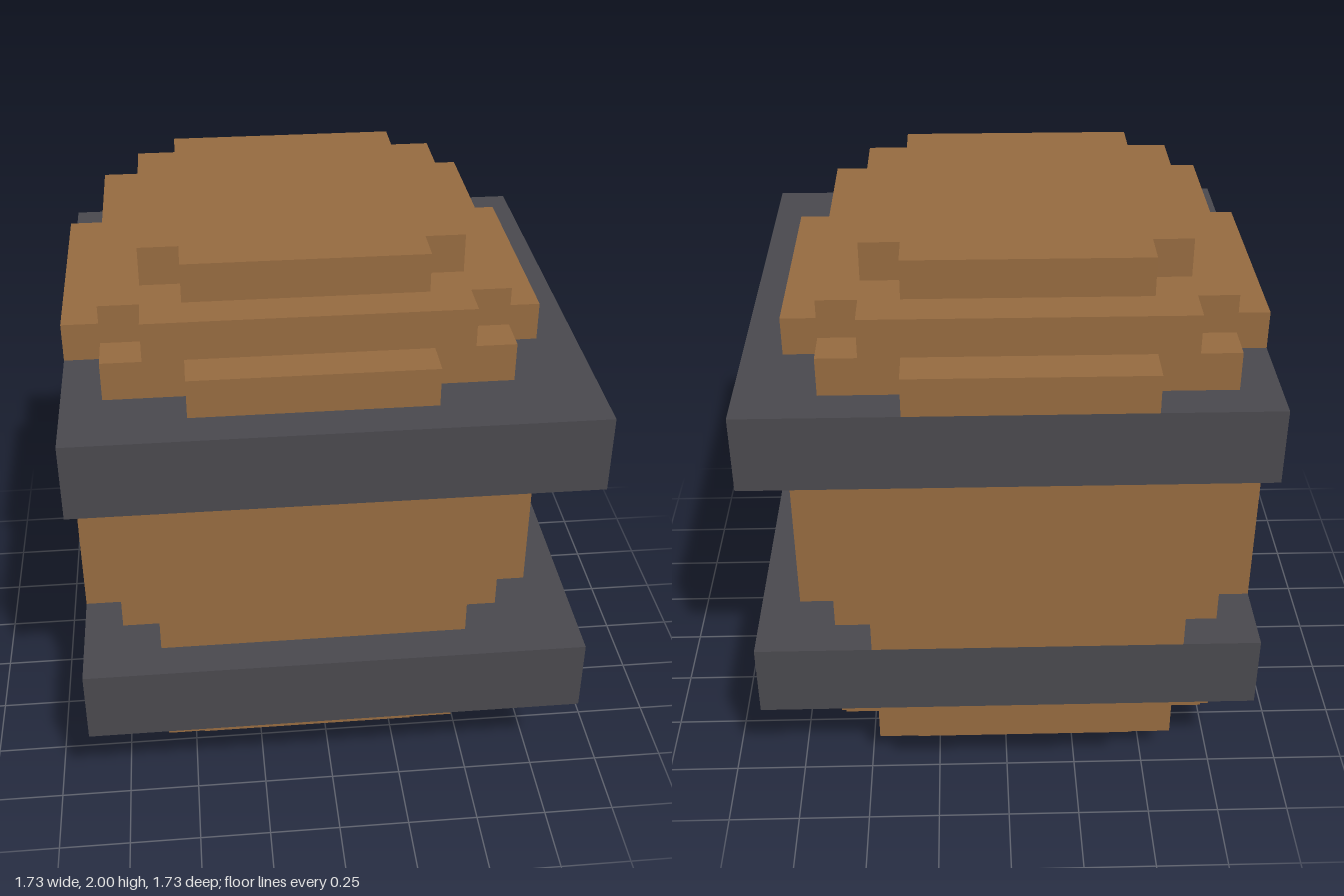
import * as THREE from 'three';

const U = 2 / 15; // one block unit

export function createModel() {
  const wood = new THREE.MeshStandardMaterial({ color: 0x966b40 });
  wood.name = 'wood';
  const iron = new THREE.MeshStandardMaterial({ color: 0x4a494e });
  iron.name = 'iron';

  const model = new THREE.Group();
  model.name = 'barrel';

  // Wooden body sits half a unit off centre from the hoops
  const body = new THREE.Group();
  body.name = 'woodenBody';
  body.position.set(-U / 2, 0, -U / 2);
  model.add(body);

  // Stepped slab: corner points of one quadrant repeated around the axis
  function slab(name, corner, y0, y1) {
    const points = [];
    for (let q = 0; q < 4; q++) {
      for (let [x, y] of corner) {
        for (let i = 0; i < q; i++) [x, y] = [-y, x];
        points.push(new THREE.Vector2(x * U, y * U));
      }
    }
    const geometry = new THREE.ExtrudeGeometry(new THREE.Shape(points), {
      depth: (y1 - y0) * U, bevelEnabled: false,
    });
    geometry.rotateX(-Math.PI / 2);
    const mesh = new THREE.Mesh(geometry, wood);
    mesh.name = name;
    mesh.position.y = y0 * U;
    body.add(mesh);
  }

  const end = [[4, 3], [3, 3], [3, 4]];
  const step = [[5, 4], [4, 4], [4, 5]];
  const shoulder = [[6, 3], [5, 3], [5, 5], [3, 5], [3, 6]];
  const staves = [[6, 4], [5, 4], [5, 5], [4, 5], [4, 6]];

  // Stepped ends, mirrored bottom and top
  [[end, 0, 'End'], [step, 1, 'Step'], [shoulder, 2, 'Shoulder']].forEach(([corner, y, label]) => {
    slab('bottom' + label, corner, y, y + 1);
    slab('top' + label, corner, 14 - y, 15 - y);
  });
  slab('staves', staves, 5, 10);

  // Square iron hoops
  [['lowerHoop', 4], ['upperHoop', 11]].forEach(([name, y]) => {
    const hoop = new THREE.Mesh(new THREE.BoxGeometry(13 * U, 2 * U, 13 * U), iron);
    hoop.name = name;
    hoop.position.y = y * U;
    model.add(hoop);
  });

  return model;
}
